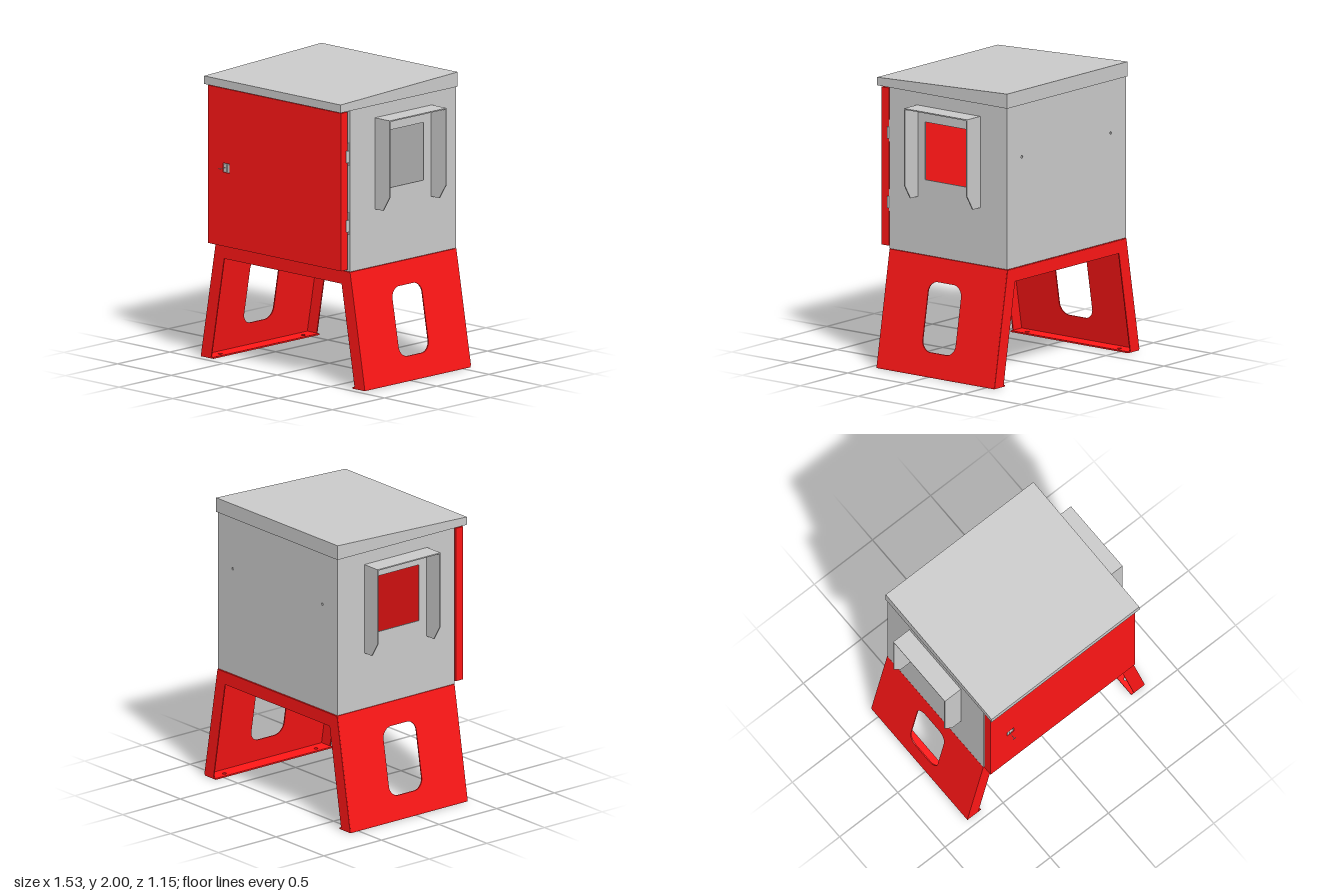
import * as THREE from 'three';

const T = 0.008; // sheet thickness
const grey = new THREE.MeshStandardMaterial({ color: 0xcccccc });
const red = new THREE.MeshStandardMaterial({ color: 0xff1616 });

function add(parent, name, geometry, material = grey) {
  const mesh = new THREE.Mesh(geometry, material);
  mesh.name = name;
  parent.add(mesh);
  return mesh;
}

function group(parent, name) {
  const g = new THREE.Group();
  g.name = name;
  parent.add(g);
  return g;
}

// Box given by its two extreme corners
function box(x0, x1, y0, y1, z0, z1) {
  return new THREE.BoxGeometry(x1 - x0, y1 - y0, z1 - z0)
    .translate((x0 + x1) / 2, (y0 + y1) / 2, (z0 + z1) / 2);
}

const poly = (pts) => new THREE.Shape(pts.map(([x, y]) => new THREE.Vector2(x, y)));
const rect = (u0, u1, v0, v1) => poly([[u0, v0], [u1, v0], [u1, v1], [u0, v1]]);
const circle = (u, v, r) => new THREE.Path().absarc(u, v, r, 0, Math.PI * 2, true);

function roundedRect(u0, u1, v0, v1, r) {
  const p = new THREE.Path();
  p.absarc(u1 - r, v1 - r, r, 0, Math.PI / 2);
  p.absarc(u0 + r, v1 - r, r, Math.PI / 2, Math.PI);
  p.absarc(u0 + r, v0 + r, r, Math.PI, Math.PI * 1.5);
  p.absarc(u1 - r, v0 + r, r, Math.PI * 1.5, Math.PI * 2);
  p.closePath();
  return p;
}

// Sheet cut from a shape with holes, thickness along +z
function sheet(shape, holes = [], t = T) {
  shape.holes.push(...holes);
  return new THREE.ExtrudeGeometry(shape, { depth: t, bevelEnabled: false, curveSegments: 10 });
}
const faceZ = (shape, z, holes, t) => sheet(shape, holes, t).translate(0, 0, z);
// Shape drawn in (z, y); outer face at x = side * outer
const faceX = (shape, side, outer, holes, t = T) =>
  sheet(shape, holes, t).rotateY(-Math.PI / 2).translate(side > 0 ? outer : t - outer, 0, 0);
// Shape drawn in (x, z); top face at y
const faceY = (shape, y, holes, t) => sheet(shape, holes, t).rotateX(Math.PI / 2).translate(0, y, 0);

const BACK = -0.57, FRONT = 0.445, HALF = 0.626;
const roofY = (z) => 2.0 - 0.045 * (z + 0.577) / 1.122;

function buildStand(root) {
  const stand = group(root, 'stand');
  add(stand, 'standTop', faceY(rect(-0.62, 0.62, BACK, FRONT), 0.792), red);

  // Front and back frames with splayed legs
  const outline = [[-0.625, 0.79], [-0.762, 0.01], [-0.668, 0.01], [-0.547, 0.702],
    [0.547, 0.702], [0.668, 0.01], [0.762, 0.01], [0.625, 0.79]];
  add(stand, 'frontFrame', faceZ(poly(outline), FRONT - T), red);
  add(stand, 'backFrame', faceZ(poly(outline), BACK - 0.004), red);

  for (const s of [1, -1]) {
    // Side plate leans outward towards the ground
    const plate = faceX(rect(BACK, FRONT, 0.01, 0.792), s, 0.626,
      [roundedRect(-0.205, 0.08, 0.165, 0.632, 0.075)]);
    const pos = plate.attributes.position;
    for (let i = 0; i < pos.count; i++) {
      pos.setX(i, pos.getX(i) + s * (0.792 - pos.getY(i)) * 0.175);
    }
    plate.computeVertexNormals();
    add(stand, s > 0 ? 'leftSidePlate' : 'rightSidePlate', plate, red);

    // Foot flange with bolt holes
    const x0 = s > 0 ? 0.647 : -0.762, x1 = s > 0 ? 0.762 : -0.647;
    add(stand, s > 0 ? 'leftFoot' : 'rightFoot', faceY(rect(x0, x1, BACK, FRONT), 0.01,
      [-0.46, 0.335].map((z) => circle(s * 0.69, z, 0.014)), 0.01), red);
  }
}

function buildBody(root) {
  const body = group(root, 'cabinet');
  add(body, 'floor', faceY(rect(-HALF, HALF, BACK, FRONT), 0.803));
  add(body, 'backPanel', faceZ(rect(-HALF, HALF, 0.797, 1.98), BACK,
    [circle(-0.465, 1.54, 0.009), circle(0.47, 1.54, 0.009)]));

  for (const s of [1, -1]) {
    const wall = poly([[BACK, 0.797], [FRONT, 0.797],
      [FRONT, roofY(FRONT) - 0.01], [BACK, roofY(BACK) - 0.01]]);
    add(body, s > 0 ? 'leftWall' : 'rightWall',
      faceX(wall, s, HALF, [rect(-0.26, 0.138, 1.31, 1.705)]));
  }
  // Folded rim around the front opening
  add(body, 'doorFrame', faceZ(rect(-HALF, HALF, 0.797, 1.945), FRONT - T,
    [rect(-0.585, 0.585, 0.84, 1.85)]));
}

function buildHoods(root) {
  for (const s of [1, -1]) {
    const hood = group(root, s > 0 ? 'leftWindowHood' : 'rightWindowHood');
    const cheek = () => poly([[0.625, 1.81], [0.625, 1.187], [0.703, 1.187], [0.764, 1.285], [0.764, 1.81]]
      .map(([x, y]) => [s * x, y]));
    add(hood, 'frontCheek', faceZ(cheek(), 0.2));
    add(hood, 'backCheek', faceZ(cheek(), -0.338));
    add(hood, 'hoodTop', box(s > 0 ? 0.625 : -0.764, s > 0 ? 0.764 : -0.625, 1.804, 1.812, -0.338, 0.208));
  }
}

function buildRoof(root) {
  const roof = group(root, 'roof');
  const zb = -0.577, zf = 0.545, w = 0.635;
  const slope = poly([[zb, 2.0 - T], [zf, 1.955 - T], [zf, 1.955], [zb, 2.0]]);
  add(roof, 'roofSheet', faceX(slope, 1, w, [], 2 * w));
  for (const s of [1, -1]) {
    const skirt = poly([[zb, 1.9], [zf, 1.9], [zf, 1.95], [zb, 1.995]]);
    add(roof, s > 0 ? 'leftSkirt' : 'rightSkirt', faceX(skirt, s, w));
  }
  add(roof, 'backSkirt', box(-w, w, 1.9, 1.995, zb, zb + 0.006));
  add(roof, 'frontLip', box(-w, w, 1.9, 1.95, zf - T, zf));
  add(roof, 'frontLipReturn', box(-w, w, 1.9, 1.906, zf - 0.035, zf));
}

function buildDoor(root) {
  const door = group(root, 'door');
  const x0 = -0.625, x1 = 0.616, y0 = 0.81, y1 = 1.89, zb = 0.457, zf = 0.521;
  add(door, 'doorSkin', faceZ(rect(x0, x1, y0, y1), zf - T,
    [rect(-0.485, -0.422, 1.316, 1.38)]), red);
  // Folded edges and their inward returns
  add(door, 'doorEdges', faceZ(rect(x0, x1, y0, y1), zb,
    [rect(x0 + T, x1 - T, y0 + T, y1 - T)], zf - T - zb), red);
  add(door, 'doorReturn', faceZ(rect(x0 + T, x1 - T, y0 + T, y1 - T), zb,
    [rect(x0 + 0.03, x1 - 0.03, y0 + 0.03, y1 - 0.03)]), red);

  // Recessed latch with a small key
  const latch = group(door, 'latch');
  add(latch, 'latchPan', box(-0.485, -0.422, 1.316, 1.38, 0.505, 0.513));
  add(latch, 'latchPaddle', box(-0.48, -0.45, 1.322, 1.374, 0.513, 0.52));
  add(latch, 'latchCatch', box(-0.446, -0.428, 1.322, 1.374, 0.513, 0.518));
  add(latch, 'keyStem', box(-0.464, -0.461, 1.3485, 1.3515, 0.515, 0.574));
  add(latch, 'keyBow', box(-0.475, -0.45, 1.348, 1.352, 0.573, 0.577));

  // Hinges
  for (const y of [1.11, 1.585]) {
    const hinge = group(root, 'hinge');
    add(hinge, 'hingeKnuckle', new THREE.CylinderGeometry(0.01, 0.01, 0.08, 16).translate(0.618, y, 0.463));
    add(hinge, 'hingeLeaf', box(0.585, 0.622, y - 0.06, y + 0.09, FRONT, 0.453));
  }
}

export function createModel() {
  const root = new THREE.Group();
  root.name = 'cabinetOnStand';
  buildStand(root);
  buildBody(root);
  buildHoods(root);
  buildRoof(root);
  buildDoor(root);
  return root;
}
